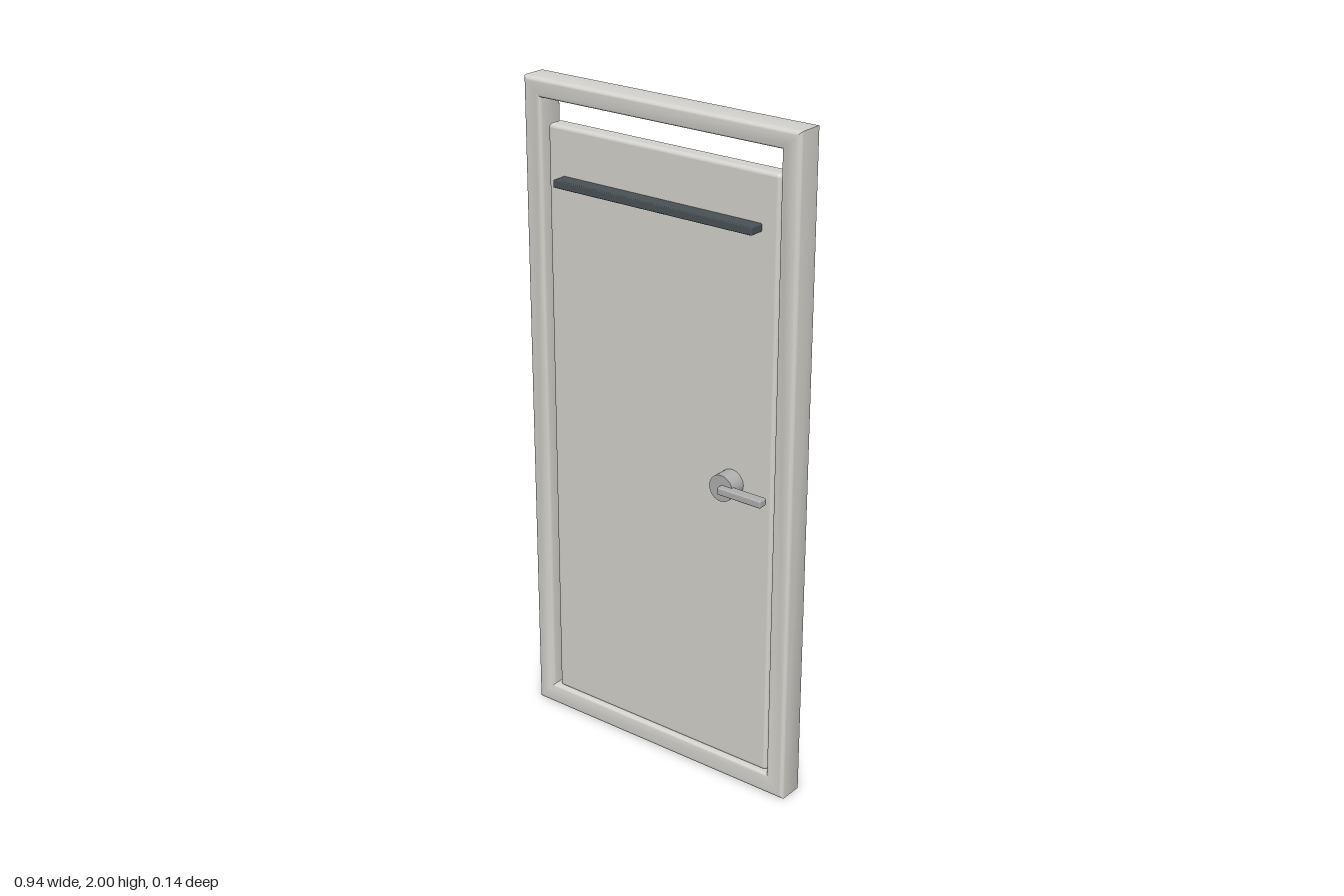
import * as THREE from 'three';
import { RoundedBoxGeometry } from 'three/addons/geometries/RoundedBoxGeometry.js';
import { toCreasedNormals } from 'three/addons/utils/BufferGeometryUtils.js';

const paint = new THREE.MeshStandardMaterial({ color: 0xd6d4ce });
const dark = new THREE.MeshStandardMaterial({ color: 0x4a5257 });
const metal = new THREE.MeshStandardMaterial({ color: 0xb0b0b0 });

function add(group, name, geometry, material, x, y, z) {
  const mesh = new THREE.Mesh(geometry, material);
  mesh.name = name;
  mesh.position.set(x, y, z);
  group.add(mesh);
  return mesh;
}

// Rectangle centred on x, from y0 to y1
function rect(path, halfWidth, y0, y1) {
  path.moveTo(-halfWidth, y0);
  path.lineTo(halfWidth, y0);
  path.lineTo(halfWidth, y1);
  path.lineTo(-halfWidth, y1);
  path.closePath();
  return path;
}

export function createModel() {
  const door = new THREE.Group();
  door.name = 'door';

  // Frame: one softened surround with a rectangular opening
  const bevel = 0.012;
  const outline = rect(new THREE.Shape(), 0.468 - bevel, bevel, 2 - bevel);
  outline.holes.push(rect(new THREE.Path(), 0.408 + bevel, 0.065 - bevel, 1.944 + bevel));
  const frame = new THREE.ExtrudeGeometry(outline, {
    depth: 0.09 - 2 * bevel,
    bevelThickness: bevel,
    bevelSize: bevel,
    bevelSegments: 4,
  });
  add(door, 'frame', toCreasedNormals(frame, 0.6), paint, 0, 0, -0.073 + bevel);

  // Door leaf, standing on the sill with a gap at the top
  add(door, 'leaf', new RoundedBoxGeometry(0.792, 1.812, 0.055, 4, 0.012), paint, 0, 0.966, -0.028);

  // Dark rail across the upper part
  add(door, 'rail', new RoundedBoxGeometry(0.682, 0.023, 0.05, 2, 0.003), dark, 0, 1.718, 0.02);

  // Handle: round rosette and lever
  const handle = new THREE.Group();
  handle.name = 'handle';
  handle.position.set(0.257, 0.957, 0);
  const rosette = new THREE.CylinderGeometry(0.04, 0.04, 0.055, 32);
  rosette.rotateX(Math.PI / 2);
  add(handle, 'rosette', rosette, metal, 0, 0, 0.0235);
  add(handle, 'lever', new RoundedBoxGeometry(0.148, 0.023, 0.031, 3, 0.005), metal, 0.074, 0, 0.0555);
  door.add(handle);

  return door;
}
